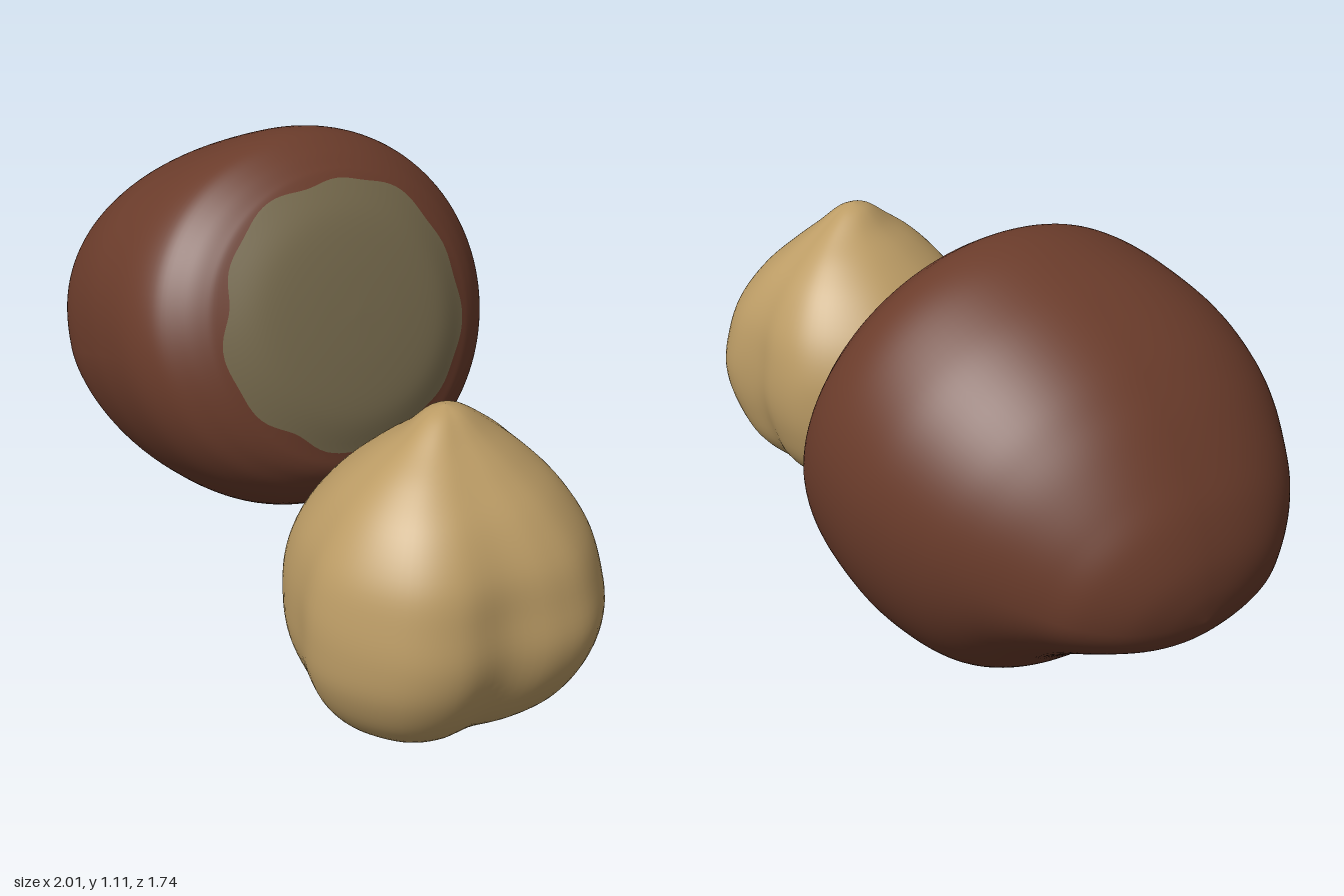
import * as THREE from 'three';
import { mergeVertices } from 'three/addons/utils/BufferGeometryUtils.js';

const shellBrown = new THREE.MeshStandardMaterial({ color: 0x6b3c2b });
shellBrown.name = 'shell brown';
const scarGrey = new THREE.MeshStandardMaterial({ color: 0x75694c });
scarGrey.name = 'scar grey';
const kernelTan = new THREE.MeshStandardMaterial({ color: 0xbd9d66 });
kernelTan.name = 'kernel tan';

// Smooth interpolation of table rows at fractional index t
function sampleRows(rows, t) {
  const i = Math.max(0, Math.min(Math.floor(t), rows.length - 2)), f = t - i;
  const at = k => rows[Math.max(0, Math.min(rows.length - 1, k))];
  return rows[i].map((p1, c) => {
    const p0 = at(i - 1)[c], p2 = at(i + 1)[c], p3 = at(i + 2)[c];
    return p1 + 0.5 * f * (p2 - p0 + f * (2 * p0 - 5 * p1 + 4 * p2 - p3 + f * (3 * (p1 - p2) + p3 - p0)));
  });
}

// Closed smooth skin over stacked rings; pointAt(i, j) gives each corner
function skin(rings, around, pointAt) {
  const positions = [], index = [];
  for (let i = 0; i <= rings; i++) {
    for (let j = 0; j < around; j++) {
      positions.push(...pointAt(i, j).toArray());
      if (i < rings) {
        const a = i * around + j, b = i * around + (j + 1) % around;
        index.push(a, b, b + around, a, b + around, a + around);
      }
    }
  }
  let geometry = new THREE.BufferGeometry();
  geometry.setAttribute('position', new THREE.Float32BufferAttribute(positions, 3));
  geometry.setIndex(index);
  geometry = mergeVertices(geometry, 1e-5);
  geometry.computeVertexNormals();
  return geometry;
}

// Nut in its shell: rings along a tilted axis from the ridged tip to the round scar
function makeShellNut() {
  const axis = new THREE.Vector3(0.86, 0.31, 0.4).normalize();
  const side = new THREE.Vector3(0, 1, 0).cross(axis).normalize();
  const up = axis.clone().cross(side);
  const scarCentre = new THREE.Vector3(-0.06, 0.665, -0.18);
  // [distance along axis, back width, front width, height above axis, depth below axis]
  const rows = [
    [-1.015, 0, 0, 0, 0],
    [-1.0, 0.1, 0.13, 0.08, 0.06],
    [-0.965, 0.205, 0.245, 0.16, 0.11],
    [-0.9, 0.3, 0.345, 0.245, 0.165],
    [-0.82, 0.365, 0.425, 0.315, 0.235],
    [-0.73, 0.425, 0.48, 0.38, 0.335],
    [-0.65, 0.47, 0.52, 0.425, 0.445],
    [-0.57, 0.505, 0.545, 0.46, 0.512],
    [-0.47, 0.535, 0.56, 0.49, 0.545],
    [-0.35, 0.555, 0.57, 0.512, 0.553],
    [-0.2, 0.55, 0.57, 0.52, 0.53],
    [-0.1, 0.52, 0.54, 0.5, 0.495],
    [-0.04, 0.465, 0.485, 0.45, 0.46],
    [-0.005, 0.415, 0.435, 0.405, 0.425],
    [0.015, 0.37, 0.39, 0.37, 0.375],
    [0.05, 0.28, 0.28, 0.27, 0.28],
    [0.065, 0.15, 0.15, 0.15, 0.15],
    [0.07, 0, 0, 0, 0],
  ];
  const scarRow = 14, steps = 6, around = 120, rings = (rows.length - 1) * steps;
  const geometry = skin(rings, around, (i, j) => {
    const angle = j / around * Math.PI * 2, cos = Math.cos(angle), sin = Math.sin(angle);
    // Uneven scar edge
    const u = i / steps, near = Math.exp(-2 * (u - scarRow) ** 2);
    const wobble = near * (0.13 * Math.sin(5 * angle) + 0.08 * Math.sin(11 * angle + 1));
    const [d, back, front, above, below] = sampleRows(rows, THREE.MathUtils.clamp(u + wobble, 0, rows.length - 1));
    // Fuller section at the upper front of the shell, leaner at the lower front, fading to the scar
    const fade = THREE.MathUtils.smoothstep(-d, 0.1, 0.5);
    const power = 1 - fade * (cos >= 0 ? 0 : sin > 0 ? 0.17 : -0.12);
    const s = Math.sign(cos) * Math.abs(cos) ** power, t = Math.sign(sin) * Math.abs(sin) ** power;
    return scarCentre.clone().addScaledVector(axis, d)
      .addScaledVector(side, (s > 0 ? back : front) * s)
      .addScaledVector(up, (t > 0 ? above : below) * t);
  });
  const shellCount = scarRow * steps * around * 6;
  geometry.addGroup(0, shellCount, 0);
  geometry.addGroup(shellCount, geometry.index.count - shellCount, 1);
  const mesh = new THREE.Mesh(geometry, [shellBrown, scarGrey]);
  mesh.name = 'shellNut';
  return mesh;
}

// Peeled kernel: a lobed plan outline stacked up to a blunt point
function makeKernel() {
  const outline = [
    [0.57, 0.08], [0.42, 0.12], [0.27, 0.23], [0.2, 0.42], [0.24, 0.6], [0.3, 0.69],
    [0.385, 0.765], [0.465, 0.835], [0.58, 0.863], [0.74, 0.84], [0.83, 0.77], [0.885, 0.65],
    [0.965, 0.55], [1, 0.45], [0.96, 0.3], [0.89, 0.215], [0.765, 0.17], [0.69, 0.115],
  ];
  // [y, xMin, xMax, zMin, zMax]
  const levels = [
    [0.012, 0.58, 0.58, 0.47, 0.47],
    [0.004, 0.46, 0.7, 0.34, 0.6],
    [0.03, 0.355, 0.8, 0.225, 0.725],
    [0.1, 0.27, 0.9, 0.14, 0.805],
    [0.2, 0.215, 0.97, 0.1, 0.855],
    [0.3, 0.2, 1, 0.085, 0.868],
    [0.4, 0.21, 0.985, 0.09, 0.86],
    [0.5, 0.255, 0.95, 0.12, 0.835],
    [0.6, 0.335, 0.875, 0.18, 0.775],
    [0.68, 0.425, 0.785, 0.255, 0.695],
    [0.74, 0.505, 0.71, 0.335, 0.61],
    [0.79, 0.56, 0.65, 0.415, 0.53],
    [0.806, 0.605, 0.605, 0.47, 0.47],
  ];
  const around = 96, steps = 5;
  const curve = new THREE.CatmullRomCurve3(outline.map(([x, z]) => new THREE.Vector3(x, 0, z)), true, 'centripetal');
  const plan = curve.getSpacedPoints(around).slice(0, around);
  const box = new THREE.Box3().setFromPoints(plan);
  const size = box.getSize(new THREE.Vector3());
  const geometry = skin((levels.length - 1) * steps, around, (i, j) => {
    const [y, x0, x1, z0, z1] = sampleRows(levels, i / steps);
    const u = (plan[j].x - box.min.x) / size.x - 0.5, v = (plan[j].z - box.min.z) / size.z - 0.5;
    // Lobes soften towards the point
    const soft = 0.55 * THREE.MathUtils.smoothstep(y, 0.3, 0.7);
    const k = 1 + soft * (0.5 / Math.hypot(u, v) - 1);
    return new THREE.Vector3((x0 + x1) / 2 + u * k * (x1 - x0), Math.max(0, y), (z0 + z1) / 2 + v * k * (z1 - z0));
  });
  const mesh = new THREE.Mesh(geometry, kernelTan);
  mesh.name = 'kernel';
  return mesh;
}

export function createModel() {
  const group = new THREE.Group();
  group.name = 'nuts';
  group.add(makeShellNut(), makeKernel());
  return group;
}
